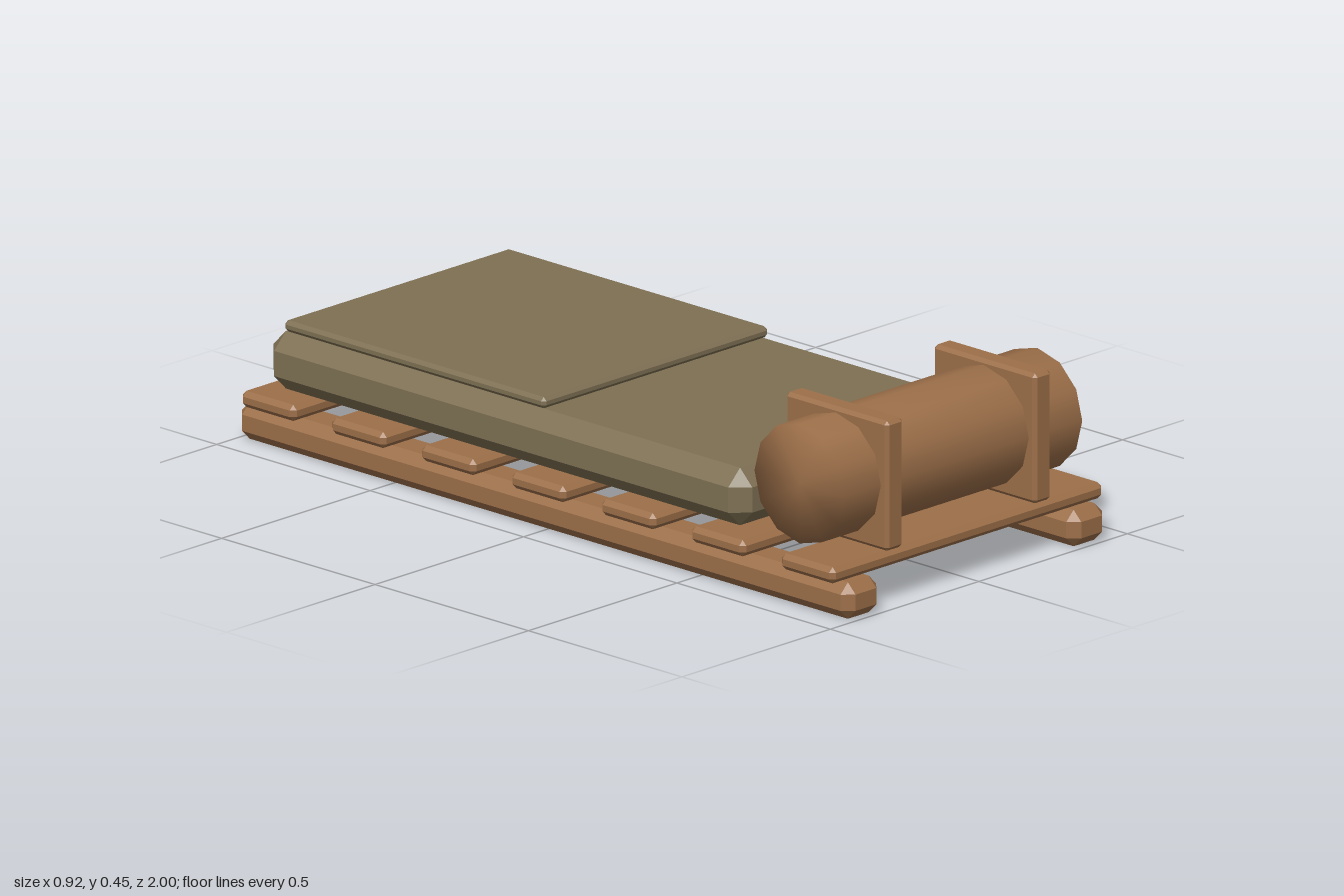
import * as THREE from 'three';
import { ConvexGeometry } from 'three/addons/geometries/ConvexGeometry.js';
import { mergeVertices } from 'three/addons/utils/BufferGeometryUtils.js';

// Box with flat chamfered edges: each face is inset by c
function chamferBox(w, h, d, c) {
  const half = [w / 2, h / 2, d / 2];
  const points = [];
  for (const sx of [-1, 1]) for (const sy of [-1, 1]) for (const sz of [-1, 1]) {
    const sign = [sx, sy, sz];
    for (let face = 0; face < 3; face++) {
      points.push(new THREE.Vector3(...half.map((e, i) => sign[i] * (i === face ? e : e - c))));
    }
  }
  return new ConvexGeometry(points);
}

export function createModel() {
  const wood = new THREE.MeshStandardMaterial({ name: 'brown', color: 0x9c6f49 });
  const cloth = new THREE.MeshStandardMaterial({ name: 'olive cloth', color: 0x7e7053 });
  const group = new THREE.Group();
  group.name = 'bed';

  const add = (name, geometry, material, x, y, z) => {
    const mesh = new THREE.Mesh(geometry, material);
    mesh.name = name;
    mesh.position.set(x, y, z);
    group.add(mesh);
    return mesh;
  };

  // Long rails on the ground
  const railGeo = chamferBox(0.12, 0.09, 2, 0.025);
  add('leftRail', railGeo, wood, 0.38, 0.045, 0);
  add('rightRail', railGeo, wood, -0.38, 0.045, 0);

  // Seven cross slats
  const slatGeo = chamferBox(0.916, 0.04, 0.176, 0.012);
  for (let i = -3; i <= 3; i++) add(`slat${i + 4}`, slatGeo, wood, 0, 0.11, i * 0.293);

  // Mattress and the folded blanket over its rear half
  add('mattress', chamferBox(0.82, 0.142, 1.56, 0.04), cloth, 0, 0.201, -0.16);
  add('blanket', chamferBox(0.76, 0.028, 0.85, 0.009), cloth, 0, 0.287, -0.475);

  // Bedroll with softly shaded ends
  let rollGeo = new THREE.CylinderGeometry(0.147, 0.147, 0.8, 12);
  rollGeo.deleteAttribute('uv');
  rollGeo.deleteAttribute('normal');
  rollGeo = mergeVertices(rollGeo, 1e-4);
  rollGeo.computeVertexNormals();
  rollGeo.rotateZ(Math.PI / 2);
  add('bedroll', rollGeo, wood, 0, 0.29, 0.803);

  // Square straps holding the roll
  const strapGeo = chamferBox(0.058, 0.32, 0.334, 0.009);
  add('leftStrap', strapGeo, wood, 0.249, 0.29, 0.803);
  add('rightStrap', strapGeo, wood, -0.249, 0.29, 0.803);

  return group;
}
